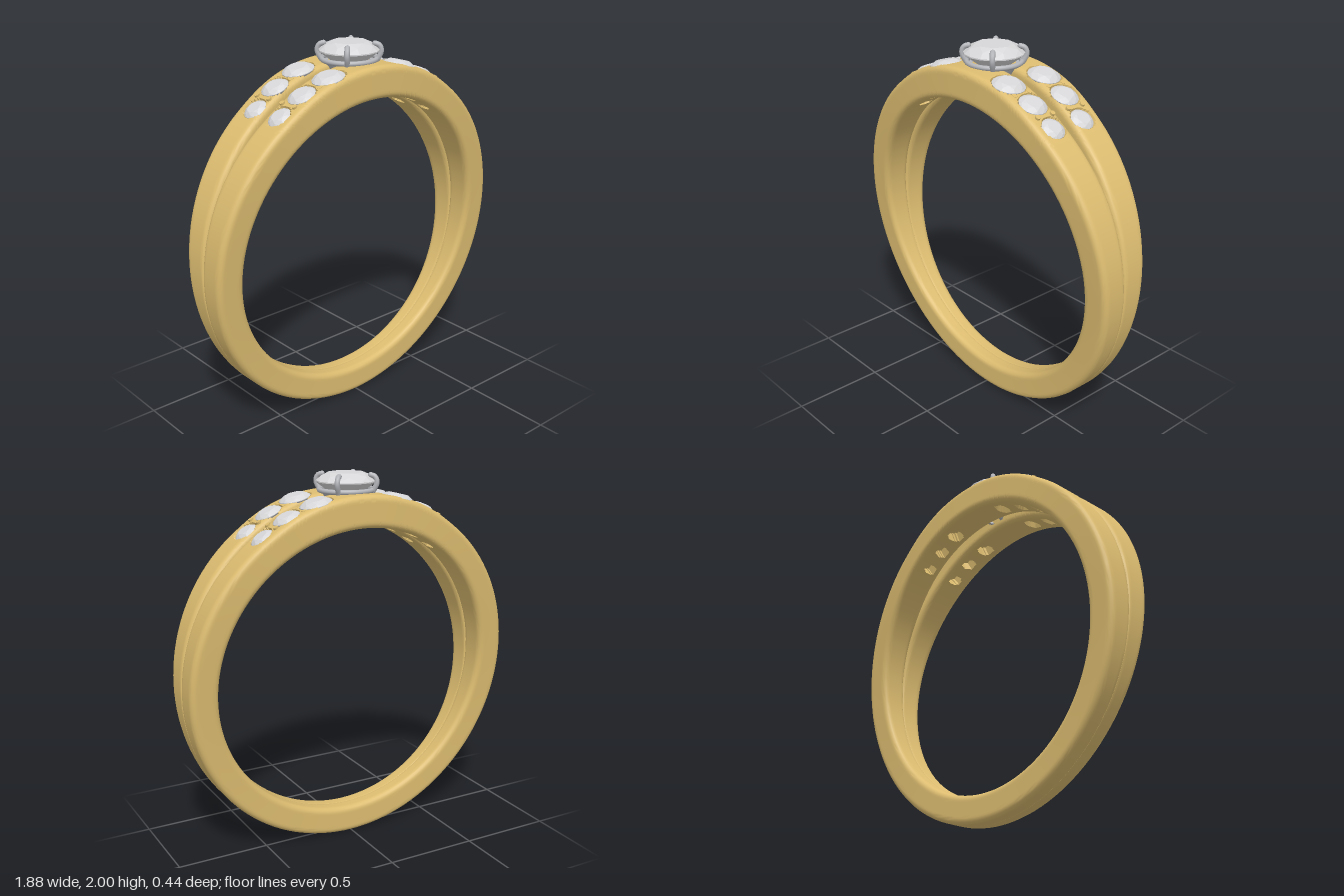
import * as THREE from 'three';
import { toCreasedNormals } from 'three/addons/utils/BufferGeometryUtils.js';
import { ConvexGeometry } from 'three/addons/geometries/ConvexGeometry.js';

const CENTRE_Y = 0.943;
const INNER = 0.79;
// side stones: angle from the top, distance from the middle, radius, girdle height from ring centre
const SEATS = [
  { phi: 0.253, z: 0.118, r: 0.085, rho: 0.95 },
  { phi: 0.432, z: 0.106, r: 0.073, rho: 0.944 },
  { phi: 0.598, z: 0.097, r: 0.062, rho: 0.932 },
];
const smooth = THREE.MathUtils.smoothstep;

// Rounded cross-section of one shank as [radius, z] pairs
function section(phi) {
  const t = (1 + Math.cos(phi)) / 2;
  const outer = 0.942 + 0.016 * smooth(t, 0.9, 1);
  const zo = 0.075 + 0.147 * Math.pow(t, 1.3);
  const zi = 0.026 * smooth(t, 0.72, 1);
  const edge = 0.03, split = 0.002 + 0.028 * smooth(t, 0.3, 0.8);
  const corners = [
    [outer, zo, edge, -1, -1], [outer, zi, split, -1, 1],
    [INNER, zi, split, 1, 1], [INNER, zo, edge, 1, -1],
  ];
  const arcs = corners.map(([u, z, r, du, dz], k) => {
    const arc = [];
    for (let i = 0; i <= 5; i++) {
      const a = Math.PI / 2 * (k + i / 5);
      arc.push([u + du * r + r * Math.sin(a), z + dz * r + r * Math.cos(a)]);
    }
    return arc;
  });
  const points = [];
  arcs.forEach((arc, k) => {
    points.push(...arc);
    const a = arc[5], b = arcs[(k + 1) % 4][0];
    for (let i = 1; i < 10; i++) {
      points.push([a[0] + (b[0] - a[0]) * i / 10, a[1] + (b[1] - a[1]) * i / 10]);
    }
  });
  return points;
}

// One shank swept round the finger, with bowls and drilled holes for the stones
function shankGeometry(side) {
  const angles = [];
  const fine = 0.72;
  for (let i = 0; i < 220; i++) angles.push(-fine + 2 * fine * i / 220);
  for (let i = 0; i < 100; i++) angles.push(fine + (2 * Math.PI - 2 * fine) * i / 100);
  const positions = [], index = [];
  let count = 0;
  for (const phi of angles) {
    const ring = section(phi);
    count = ring.length;
    for (const [u, z] of ring) {
      let rho = u;
      for (const s of SEATS) {
        const d = Math.hypot((Math.abs(phi) - s.phi) * 0.94, z - s.z) / s.r;
        if (d >= 1) continue;
        if (u > 0.82) rho = Math.min(rho, 0.935 - 0.85 * s.r * Math.sqrt(1 - d * d));
        else if (d < 0.52) rho = 0.845;
      }
      positions.push(rho * Math.sin(phi), CENTRE_Y + rho * Math.cos(phi), z * side);
    }
  }
  const n = angles.length;
  for (let i = 0; i < n; i++) {
    for (let j = 0; j < count; j++) {
      const a = i * count + j, b = i * count + (j + 1) % count;
      const c = ((i + 1) % n) * count + j, d = ((i + 1) % n) * count + (j + 1) % count;
      if (side > 0) index.push(a, c, b, b, c, d);
      else index.push(a, b, c, b, d, c);
    }
  }
  const geometry = new THREE.BufferGeometry();
  geometry.setAttribute('position', new THREE.Float32BufferAttribute(positions, 3));
  geometry.setIndex(index);
  return toCreasedNormals(geometry, 0.6);
}

// Round brilliant cut, girdle at y = 0
function gemGeometry(r) {
  const points = [new THREE.Vector3(0, -0.72 * r, 0)];
  const ring = (n, radius, y, turn) => {
    for (let i = 0; i < n; i++) {
      const a = (i + turn) / n * Math.PI * 2;
      points.push(new THREE.Vector3(radius * Math.cos(a), y, radius * Math.sin(a)));
    }
  };
  ring(8, 0.6 * r, 0.28 * r, 0);
  ring(8, 0.83 * r, 0.17 * r, 0.5);
  ring(16, r, 0.02 * r, 0);
  ring(16, r, -0.02 * r, 0);
  ring(8, 0.55 * r, -0.36 * r, 0.5);
  return new ConvexGeometry(points);
}

export function createModel() {
  const gold = new THREE.MeshStandardMaterial({ color: 0xdcbc70 });
  gold.name = 'yellow gold';
  const gem = new THREE.MeshStandardMaterial({ color: 0xd6d6d8 });
  gem.name = 'clear stone';
  const silver = new THREE.MeshStandardMaterial({ color: 0xb4b6ba });
  silver.name = 'white metal';

  const model = new THREE.Group();
  model.name = 'ring';
  const add = (name, geometry, material, parent = model) => {
    const mesh = new THREE.Mesh(geometry, material);
    mesh.name = name;
    parent.add(mesh);
    return mesh;
  };
  // place a part on the band, standing along the radius
  const stand = (mesh, phi, rho, z) => {
    mesh.position.set(rho * Math.sin(phi), CENTRE_Y + rho * Math.cos(phi), z);
    mesh.rotation.z = -phi;
  };

  // split band
  add('frontShank', shankGeometry(1), gold);
  add('backShank', shankGeometry(-1), gold);

  // side stones with small gold beads between them
  const beadGeometry = new THREE.CylinderGeometry(0.013, 0.015, 0.04, 10);
  SEATS.forEach((s, k) => {
    const geometry = gemGeometry(s.r);
    const next = SEATS[k + 1];
    for (const sx of [1, -1]) for (const sz of [1, -1]) {
      stand(add('sideStone', geometry, gem), sx * s.phi, s.rho, sz * s.z);
      if (!next) continue;
      const phi = (s.phi * next.r + next.phi * s.r) / (s.r + next.r);
      for (const off of [-0.048, 0.048]) {
        stand(add('bead', beadGeometry, gold), sx * phi, 0.936, sz * ((s.z + next.z) / 2 + off));
      }
    }
  });

  // centre setting
  const head = new THREE.Group();
  head.name = 'centreSetting';
  model.add(head);
  const stone = add('centreStone', gemGeometry(0.158), gem, head);
  stone.position.y = 1.953;
  const basket = [[0.035, 1.775], [0.05, 1.775], [0.095, 1.84], [0.13, 1.9], [0.11, 1.9], [0.035, 1.775]]
    .map(([x, y]) => new THREE.Vector2(x, y));
  add('basket', toCreasedNormals(new THREE.LatheGeometry(basket, 40), 0.5), silver, head);
  const rail = add('basketRail', new THREE.TorusGeometry(0.14, 0.013, 10, 48), silver, head);
  rail.rotation.x = Math.PI / 2;
  rail.position.y = 1.908;

  // four claws bent over the girdle
  const path = new THREE.CatmullRomCurve3([
    [0.08, 1.82], [0.14, 1.9], [0.163, 1.95], [0.152, 1.978], [0.13, 1.986],
  ].map(([x, y]) => new THREE.Vector3(x, y, 0)));
  const clawGeometry = new THREE.TubeGeometry(path, 20, 0.014, 10);
  const tipGeometry = new THREE.SphereGeometry(0.014, 12, 8);
  for (let i = 0; i < 4; i++) {
    const claw = new THREE.Group();
    claw.name = 'claw';
    claw.rotation.y = Math.PI / 4 + i * Math.PI / 2;
    add('clawArm', clawGeometry, silver, claw);
    add('clawTip', tipGeometry, silver, claw).position.set(0.13, 1.986, 0);
    head.add(claw);
  }
  return model;
}
